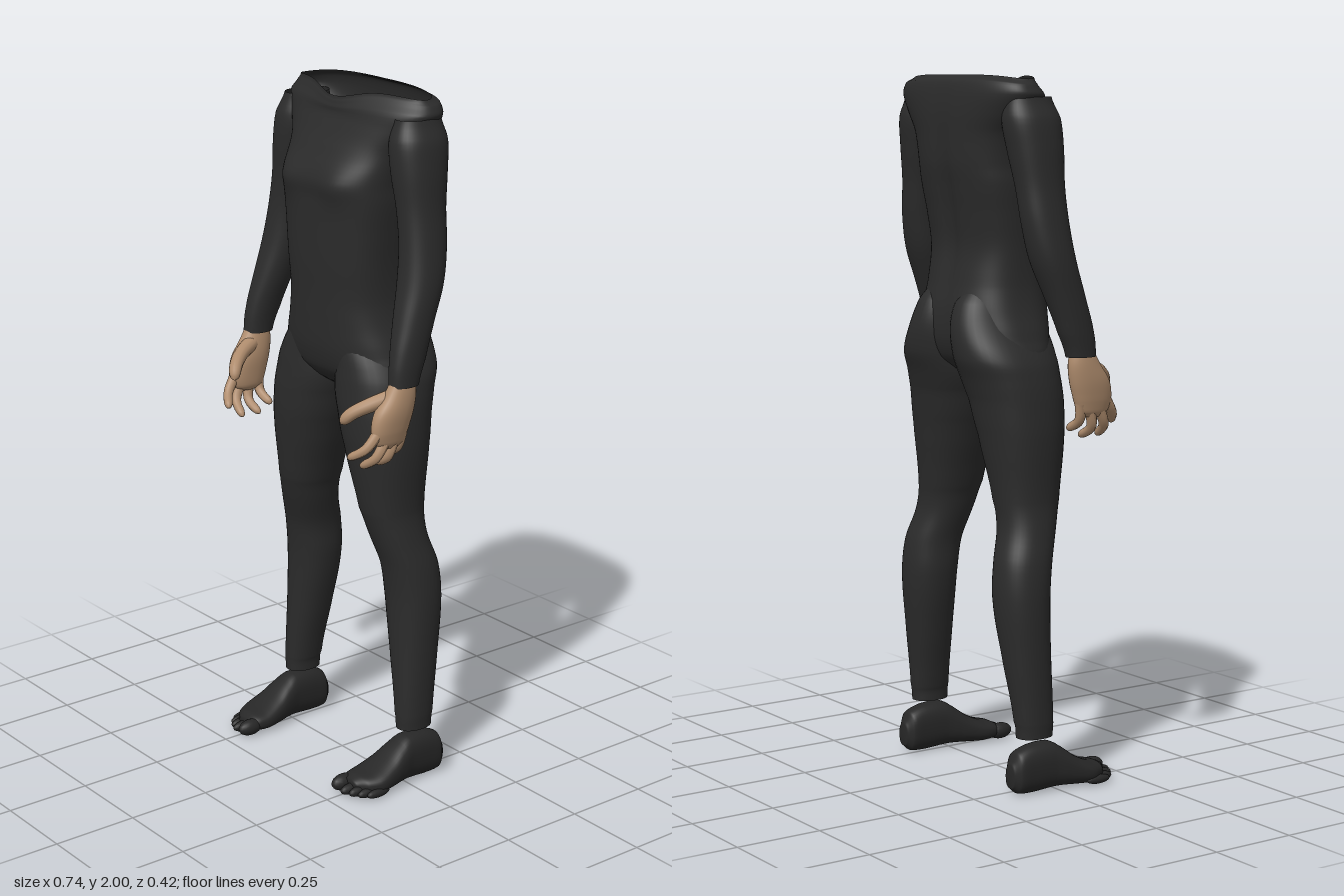
import * as THREE from 'three';

const mat = (name, color, side) => Object.assign(new THREE.MeshStandardMaterial({ color, side }), { name });

// Smooth loft through rows [y, xMin, xMax, zMin, zMax, roundness]; caps: 'b' bottom, 't' top
function loft(rows, { caps = '', n = 2.2, sides = 40, steps = 5, tweak } = {}) {
  const pos = [], idx = [];
  const at = i => rows[Math.max(0, Math.min(rows.length - 1, i))];
  const rings = (rows.length - 1) * steps + 1;
  const power = (v, e) => Math.sign(v) * Math.pow(Math.abs(v), 2 / e);
  for (let r = 0; r < rings; r++) {
    const k = Math.min(rows.length - 2, Math.floor(r / steps)), t = r / steps - k;
    const v = (c) => {
      const [a, b, d, e] = [k - 1, k, k + 1, k + 2].map(i => at(i)[c] ?? n);
      if (c === 0) return b + (d - b) * t;
      return 0.5 * (2 * b + (d - a) * t + (2 * a - 5 * b + 4 * d - e) * t * t + (3 * b - a - 3 * d + e) * t ** 3);
    };
    const [y, x0, x1, z0, z1, e] = [0, 1, 2, 3, 4, 5].map(v);
    for (let j = 0; j < sides; j++) {
      const th = j / sides * Math.PI * 2;
      const p = new THREE.Vector3(
        (x0 + x1) / 2 + (x1 - x0) / 2 * power(Math.cos(th), e), y,
        (z0 + z1) / 2 + (z1 - z0) / 2 * power(Math.sin(th), e));
      if (tweak) tweak(p, Math.sin(th));
      pos.push(p.x, p.y, p.z);
      if (r < rings - 1) {
        const a = r * sides + j, b = r * sides + (j + 1) % sides;
        idx.push(a, a + sides, b, b, a + sides, b + sides);
      }
    }
  }
  const cap = (row, first, top) => {
    const c = pos.length / 3;
    pos.push((row[1] + row[2]) / 2, row[0], (row[3] + row[4]) / 2);
    for (let j = 0; j < sides; j++) {
      const a = first + j, b = first + (j + 1) % sides;
      idx.push(c, top ? b : a, top ? a : b);
    }
  };
  if (caps.includes('b')) cap(rows[0], 0, false);
  if (caps.includes('t')) cap(rows[rows.length - 1], (rings - 1) * sides, true);
  const g = new THREE.BufferGeometry();
  g.setAttribute('position', new THREE.Float32BufferAttribute(pos, 3));
  g.setIndex(idx);
  g.computeVertexNormals();
  return g;
}

// Tapered, round-tipped tube for a finger
function finger(points, radius) {
  const curve = new THREE.CatmullRomCurve3(points.map(p => new THREE.Vector3(...p)));
  const seg = 20, rad = 12;
  const g = new THREE.TubeGeometry(curve, seg, radius, rad);
  const p = g.attributes.position, v = new THREE.Vector3();
  for (let i = 0; i < p.count; i++) {
    const t = Math.floor(i / (rad + 1)) / seg, c = curve.getPointAt(t);
    const tip = Math.max(0, (t - 0.8) / 0.2);
    v.fromBufferAttribute(p, i).sub(c).multiplyScalar((1 - 0.3 * t) * Math.sqrt(1 - tip * tip)).add(c);
    p.setXYZ(i, v.x, v.y, v.z);
  }
  g.computeVertexNormals();
  return g;
}

function mirrored(geo) {
  const g = geo.clone().scale(-1, 1, 1), ix = g.index;
  for (let i = 0; i < ix.count; i += 3) {
    const a = ix.getX(i);
    ix.setX(i, ix.getX(i + 2));
    ix.setX(i + 2, a);
  }
  return g;
}

export function createModel() {
  const suit = mat('charcoal suit', 0x2b2b2b, THREE.DoubleSide);
  const shoe = mat('dark foot cover', 0x272727, THREE.FrontSide);
  const skin = mat('skin', 0xb08d6e, THREE.FrontSide);
  const model = new THREE.Group();
  model.name = 'body';
  const add = (name, geo, material) => {
    const m = new THREE.Mesh(geo, material);
    m.name = name;
    model.add(m);
  };
  const pair = (name, geo, material) => {
    add('left' + name, geo, material);
    add('right' + name, mirrored(geo), material);
  };
  const bell = (d, w) => Math.exp(-((d / w) ** 2));

  // Torso with a wide open neckline, chest bulges and a spine groove
  const torso = [
    [1.13, 0.06, -0.08, 0.0, 2], [1.17, 0.13, -0.12, 0.055, 2.2], [1.21, 0.235, -0.165, 0.085, 2.3],
    [1.27, 0.226, -0.185, 0.1, 2.4], [1.35, 0.2, -0.185, 0.105, 2.5], [1.42, 0.187, -0.172, 0.108, 2.5],
    [1.52, 0.187, -0.157, 0.113, 2.6], [1.62, 0.195, -0.167, 0.114, 2.7], [1.7, 0.203, -0.18, 0.114, 2.8],
    [1.76, 0.206, -0.19, 0.115, 2.7], [1.84, 0.225, -0.193, 0.078, 2.5], [1.9, 0.268, -0.193, 0.048, 2.4],
    [1.95, 0.295, -0.188, 0.026, 2.4], [1.985, 0.285, -0.178, 0.0, 2.3], [2.0, 0.268, -0.15, -0.008, 2.3],
  ].map(([y, hw, z0, z1, e]) => [y, -hw, hw, z0, z1, e]);
  add('torso', loft(torso, {
    caps: 'b', sides: 72, tweak(p, s) {
      const top = THREE.MathUtils.smoothstep(p.y, 1.92, 2);
      if (s > 0) {
        p.z += 0.012 * s * bell(Math.abs(p.x) - 0.11, 0.06) * bell(p.y - 1.74, 0.05);
        p.z += 0.035 * s * top * bell(p.x, 0.12);
        p.y -= 0.028 * s * top * bell(p.x, 0.1);
      } else {
        p.z -= 0.014 * s * bell(p.x, 0.03) * bell(p.y - 1.6, 0.25);
      }
      p.y -= 0.014 * top * (p.x / 0.28) ** 4;
    },
  }), suit);

  // Legs, rising into the seat
  pair('Leg', loft([
    [0.155, 0.226, 0.307, -0.11, 0.0], [0.2, 0.22, 0.31, -0.115, 0.002], [0.4, 0.18, 0.312, -0.14, 0.0],
    [0.55, 0.153, 0.313, -0.155, 0.002], [0.65, 0.148, 0.304, -0.148, 0.015], [0.74, 0.128, 0.284, -0.123, 0.042],
    [0.82, 0.106, 0.272, -0.125, 0.065], [1.0, 0.052, 0.28, -0.15, 0.09], [1.1, 0.022, 0.276, -0.167, 0.096],
    [1.16, 0.003, 0.268, -0.185, 0.094], [1.22, 0.002, 0.25, -0.207, 0.09], [1.3, 0.003, 0.2, -0.209, 0.08],
    [1.37, 0.015, 0.165, -0.188, 0.04], [1.43, 0.05, 0.13, -0.14, 0.0],
  ], { caps: 't' }), suit);

  // Sleeved arms
  pair('Arm', loft([
    [1.23, 0.303, 0.37, 0.005, 0.095], [1.3, 0.293, 0.372, -0.02, 0.088], [1.4, 0.27, 0.371, -0.055, 0.063],
    [1.5, 0.25, 0.368, -0.093, 0.037], [1.6, 0.24, 0.355, -0.113, 0.023], [1.7, 0.223, 0.34, -0.122, 0.02],
    [1.8, 0.2, 0.332, -0.137, 0.026], [1.88, 0.19, 0.32, -0.147, 0.024], [1.94, 0.2, 0.293, -0.135, 0.003],
  ]), suit);

  // Hands: palm, four curled fingers and a thumb
  pair('Palm', loft([
    [1.06, 0.318, 0.345, 0.065, 0.12], [1.075, 0.306, 0.354, 0.045, 0.145], [1.11, 0.302, 0.362, 0.032, 0.155],
    [1.16, 0.3, 0.368, 0.018, 0.145], [1.21, 0.305, 0.367, 0.012, 0.11], [1.26, 0.312, 0.362, 0.02, 0.085],
  ], { caps: 'bt', sides: 28 }), skin);
  const fingers = {
    IndexFinger: [[0.335, 1.11, 0.135], [0.322, 1.065, 0.17], [0.278, 1.033, 0.2]],
    MiddleFinger: [[0.338, 1.09, 0.11], [0.327, 1.035, 0.138], [0.275, 0.998, 0.152]],
    RingFinger: [[0.338, 1.09, 0.08], [0.325, 1.03, 0.096], [0.27, 0.998, 0.094]],
    LittleFinger: [[0.335, 1.1, 0.053], [0.32, 1.05, 0.058], [0.27, 1.02, 0.053]],
  };
  for (const [name, pts] of Object.entries(fingers)) pair(name, finger(pts, 0.0165), skin);
  pair('Thumb', finger([[0.328, 1.2, 0.08], [0.3, 1.18, 0.14], [0.27, 1.155, 0.18], [0.248, 1.125, 0.2]], 0.024), skin);

  // Feet, lofted from toe to heel
  pair('Foot', loft([
    [-0.175, 0.225, 0.285, 0.012, 0.045], [-0.15, 0.21, 0.318, 0.005, 0.056], [-0.11, 0.205, 0.338, 0.001, 0.066],
    [-0.06, 0.212, 0.336, 0.003, 0.09], [-0.015, 0.222, 0.328, 0.005, 0.122], [0.015, 0.228, 0.322, 0.004, 0.138],
    [0.08, 0.232, 0.318, 0.0, 0.136], [0.125, 0.236, 0.314, 0.003, 0.12], [0.145, 0.255, 0.295, 0.02, 0.085],
  ], { caps: 'bt', n: 2.5 }).rotateX(-Math.PI / 2), shoe);
  // Toes, largest on the inside
  for (let i = 0; i < 5; i++) {
    const r = i ? 0.0165 - 0.001 * i : 0.023;
    const toe = new THREE.SphereGeometry(1, 16, 12).scale(r, r * 1.05, 0.04);
    toe.translate([0.229, 0.264, 0.289, 0.311, 0.329][i], r * 1.05 + 0.002, [0.174, 0.171, 0.16, 0.145, 0.125][i]);
    pair('Toe' + (i + 1), toe, shoe);
  }
  return model;
}
